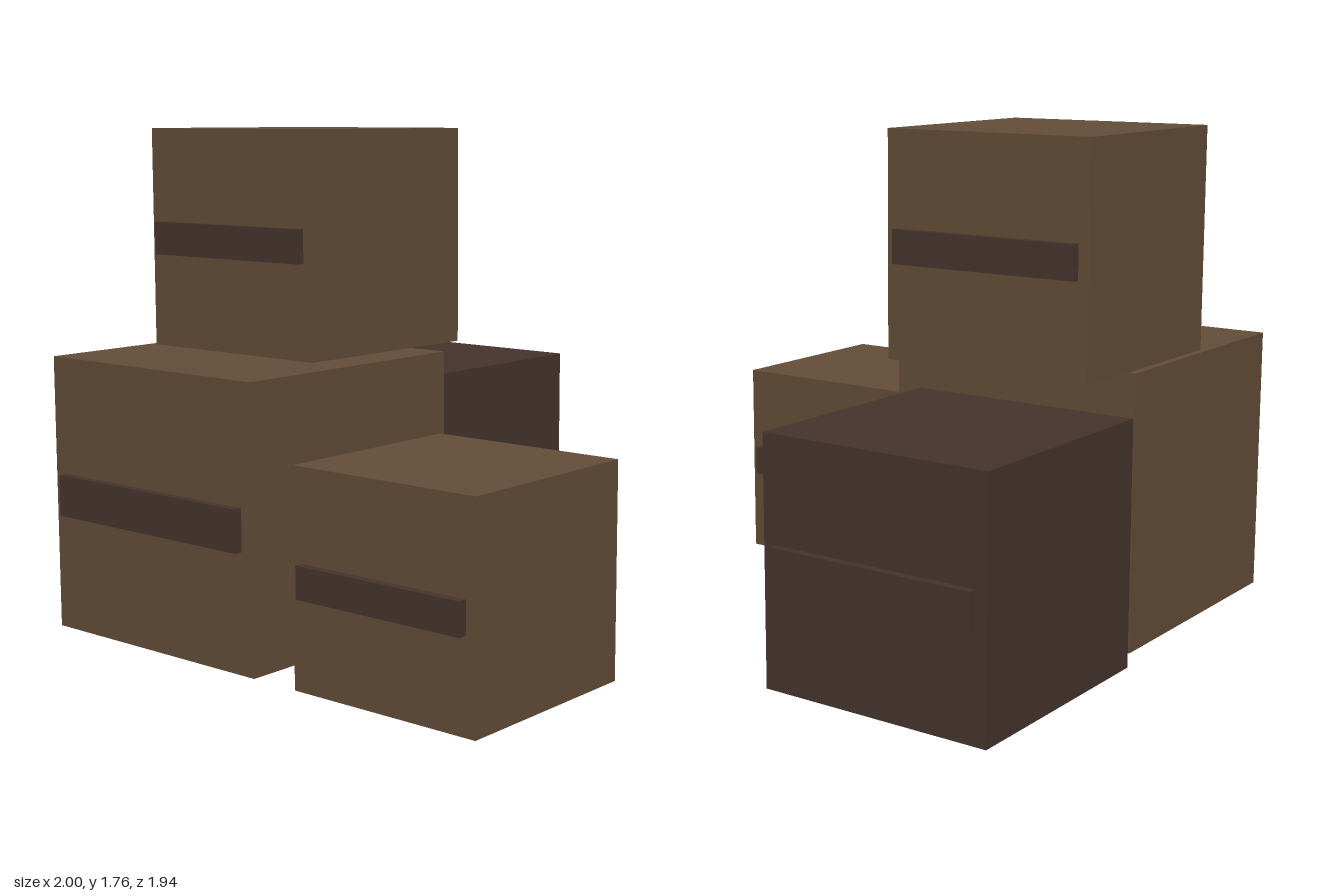
import * as THREE from 'three';

export function createModel() {
  const wood = new THREE.MeshStandardMaterial({ color: 0x654e39 });
  wood.name = 'brown wood';
  const darkWood = new THREE.MeshStandardMaterial({ color: 0x47342d });
  darkWood.name = 'dark wood';

  const model = new THREE.Group();
  model.name = 'crateStack';

  function addBox(parent, name, size, y, material) {
    const mesh = new THREE.Mesh(new THREE.BoxGeometry(...size), material);
    mesh.name = name;
    mesh.position.y = y;
    parent.add(mesh);
  }

  // A cube crate with a slim batten standing out on both sides
  function addCrate(name, size, x, y, z, material) {
    const crate = new THREE.Group();
    crate.name = name;
    crate.position.set(x, y, z);
    addBox(crate, 'body', [size, size, size], size / 2, material);
    addBox(crate, 'sideBattens', [size + 0.06, size * 0.15, size * 0.9], size / 2, darkWood);
    model.add(crate);
  }

  addCrate('largeCrate', 0.97, -0.485, 0, -0.425, wood);
  addCrate('darkCrate', 0.848, 0.545, 0, -0.547, darkWood);
  addCrate('topCrate', 0.788, -0.124, 0.97, -0.488, wood);
  addCrate('smallCrate', 0.727, -0.607, 0, 0.606, wood);

  return model;
}
